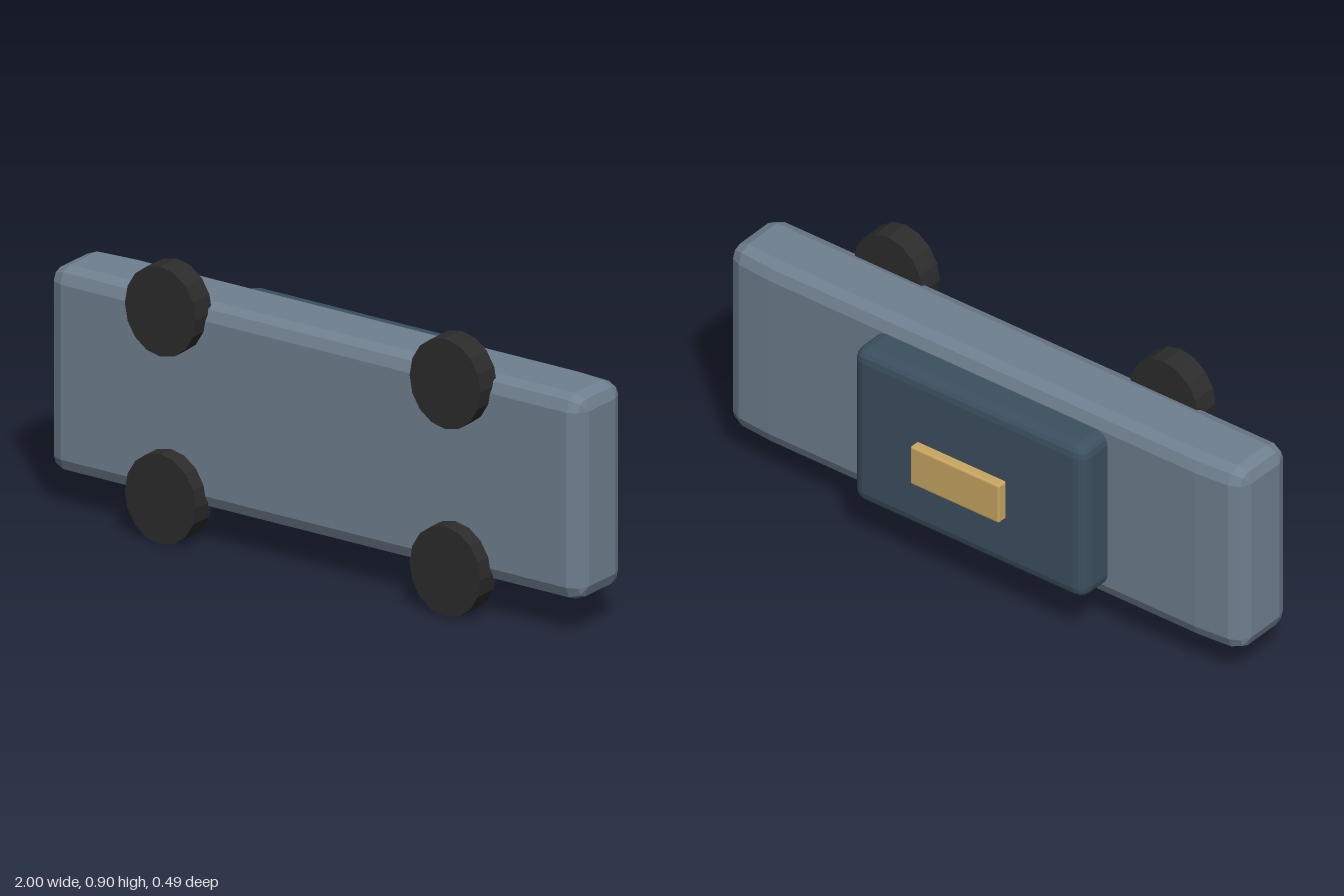
import * as THREE from 'three';
import { RoundedBoxGeometry } from 'three/addons/geometries/RoundedBoxGeometry.js';

const material = (name, color) => {
  const m = new THREE.MeshStandardMaterial({ color, flatShading: true });
  m.name = name;
  return m;
};

// Long rounded body lofted along x, its roof side (-z) dipping slightly at both ends
function bodyGeometry(halfLength, halfHeight, halfDepth, radius) {
  const L = halfLength, r = radius, k = Math.SQRT1_2;
  const half = [[L, 0, 0.012], [L - r * (1 - k), k, 0.012], [L - r, 1, 0.01], [0.83, 1, 0]];
  const rings = [...half.map(([x, s, d]) => [-x, s, d]), ...half.slice().reverse()];
  const n = 12, pos = [], idx = [];
  for (const [x, s, dip] of rings) {
    for (let j = 0; j < n; j++) {
      const corner = Math.floor(j / 3);
      const a = corner * Math.PI / 2 + (j % 3) * Math.PI / 4;
      const sy = corner === 0 || corner === 3 ? 1 : -1;
      const sz = corner < 2 ? 1 : -1;
      const y = sy * (halfHeight - r) + Math.cos(a) * r * s;
      const z = sz * (halfDepth - r) + Math.sin(a) * r * s;
      pos.push(x, y, z + (sz < 0 ? dip : 0));
    }
  }
  for (let i = 0; i < rings.length - 1; i++) {
    for (let j = 0; j < n; j++) {
      const a = i * n + j, b = i * n + (j + 1) % n;
      idx.push(a, b, a + n, b, b + n, a + n);
    }
  }
  // End caps
  const last = (rings.length - 1) * n;
  for (let j = 1; j < n - 1; j++) {
    idx.push(0, j + 1, j, last, last + j, last + j + 1);
  }
  const g = new THREE.BufferGeometry();
  g.setAttribute('position', new THREE.Float32BufferAttribute(pos, 3));
  g.setIndex(idx);
  const flat = g.toNonIndexed();
  flat.computeVertexNormals();
  return flat;
}

export function createModel() {
  const group = new THREE.Group();
  const paint = material('slate paint', 0x708090);
  const glass = material('dark blue cabin', 0x3c5060);
  const rubber = material('black rubber', 0x2c2c2c);
  const yellow = material('sand yellow', 0xcaa762);

  const add = (name, geometry, mat, x, y, z) => {
    const mesh = new THREE.Mesh(geometry, mat);
    mesh.name = name;
    mesh.position.set(x, y, z);
    group.add(mesh);
    return mesh;
  };

  // The vehicle rests on its side: roof towards -z, wheels towards +z
  add('body', bodyGeometry(1, 0.335, 0.125, 0.05), paint, 0, 0.453, 0.065);
  add('cabin', new RoundedBoxGeometry(0.9, 0.567, 0.2, 2, 0.042), glass, -0.04, 0.453, -0.08);
  add('roofSign', new RoundedBoxGeometry(0.345, 0.14, 0.038, 2, 0.007), yellow, -0.04, 0.453, -0.225);

  // Slightly oval wheels
  const wheel = new THREE.CylinderGeometry(1, 1, 0.086, 16).rotateX(Math.PI / 2);
  wheel.scale(0.133, 0.147, 1);
  for (const x of [-0.535, 0.535]) {
    for (const y of [0.147, 0.758]) add('wheel', wheel, rubber, x, y, 0.202);
  }
  return group;
}
